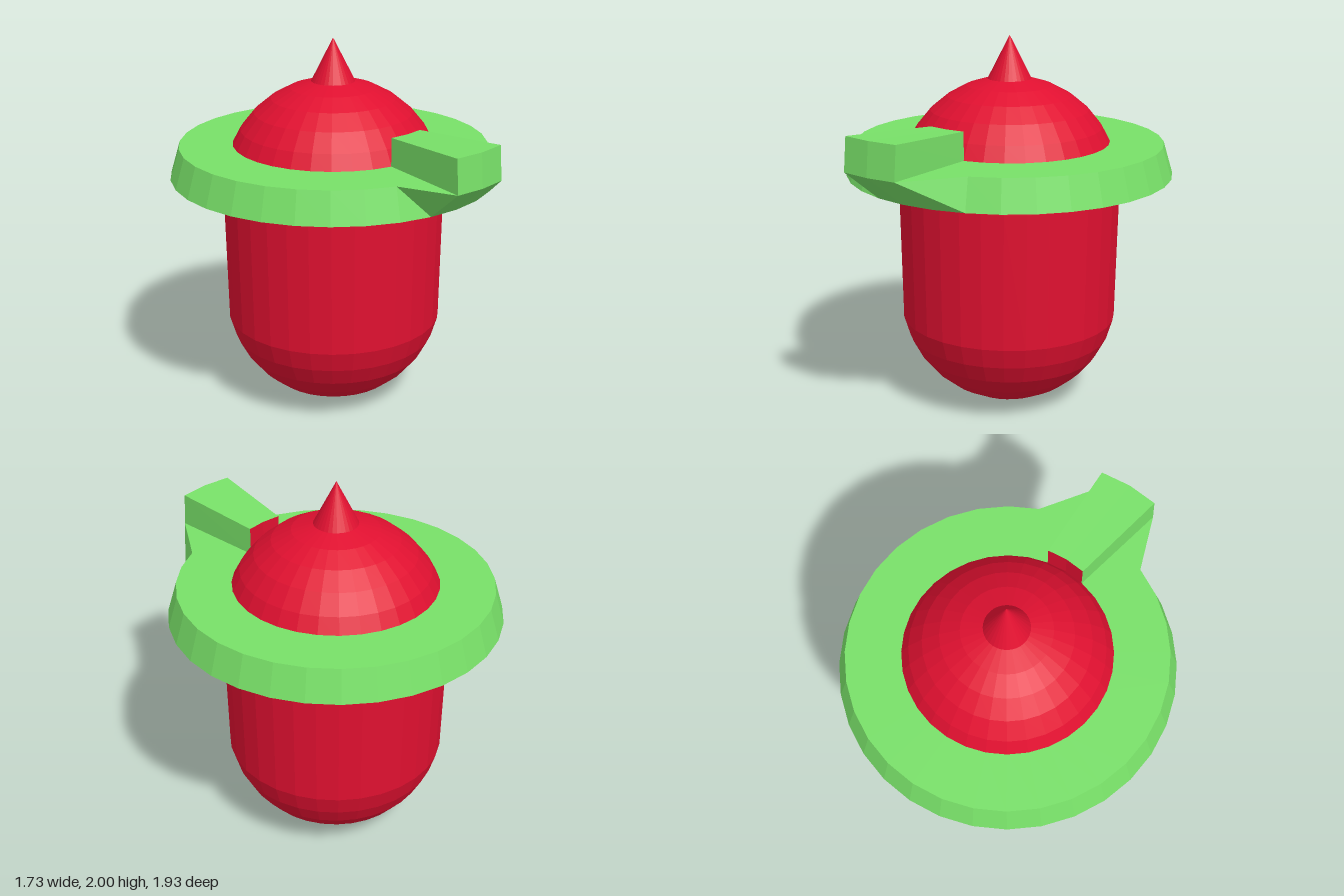
import * as THREE from 'three';

const SIDES = 32;
const STEP = (Math.PI * 2) / SIDES;
const AXIS_Z = -0.105;
const red = new THREE.MeshStandardMaterial({ color: 0xe01030, flatShading: true });
const green = new THREE.MeshStandardMaterial({ color: 0x78e068, flatShading: true });

function mesh(name, geometry, material) {
  const m = new THREE.Mesh(geometry, material);
  m.name = name;
  return m;
}

// Flat-faced surface from quads, corners counter-clockwise from outside
function quadSurface(quads) {
  const pos = quads.flatMap(([a, b, c, d]) => [a, b, d, b, c, d].flat());
  const g = new THREE.BufferGeometry();
  g.setAttribute('position', new THREE.Float32BufferAttribute(pos, 3));
  g.computeVertexNormals();
  return g;
}

export function createModel() {
  const group = new THREE.Group();

  // Capsule body: lower bowl, straight wall, upper dome
  const R = 0.59, profile = [];
  for (let i = 0; i <= 7; i++) {
    profile.push(new THREE.Vector2(R * Math.sin(i * STEP), R - R * Math.cos(i * STEP)));
  }
  for (let i = 8; i >= 0; i--) {
    profile.push(new THREE.Vector2(R * Math.sin(i * STEP), 1.195 + R * Math.cos(i * STEP)));
  }
  group.add(mesh('body', new THREE.LatheGeometry(profile, SIDES), red));

  // Pointed tip on the dome
  const tip = mesh('tip', new THREE.ConeGeometry(0.115, 0.226, SIDES, 1, true), red);
  tip.position.y = 1.887;
  group.add(tip);

  // Brim rings; three outer top corners are pulled forward for the spout
  const ring = (r, y, pull = 0) => (i) => {
    const k = (i + SIDES) % SIDES;
    return [r * Math.sin(k * STEP), y, r * Math.cos(k * STEP) + (k <= 2 ? pull : 0)];
  };
  const inner = ring(0.53, 1.445), outer = ring(0.815, 1.445, 0.25);
  const low = ring(0.865, 1.28), lowInner = ring(0.585, 1.28);
  const innerUp = ring(0.53, 1.592), outerUp = ring(0.81, 1.62, 0.24);

  const brim = [], underside = [], spout = [], spoutBack = [];
  for (let i = 0; i < SIDES; i++) {
    const j = i + 1;
    brim.push([low(i), low(j), outer(j), outer(i)]);
    underside.push([lowInner(i), lowInner(j), low(j), low(i)]);
    if (i < 2) {
      spout.push([outer(i), outer(j), outerUp(j), outerUp(i)]);
      spout.push([outerUp(i), outerUp(j), innerUp(j), innerUp(i)]);
      spoutBack.push([inner(j), inner(i), innerUp(i), innerUp(j)]);
    } else {
      brim.push([outer(i), outer(j), inner(j), inner(i)]);
    }
  }
  // Side walls of the spout
  spout.push([inner(0), outer(0), outerUp(0), innerUp(0)]);
  spout.push([outer(2), inner(2), innerUp(2), outerUp(2)]);

  group.add(
    mesh('brim', quadSurface(brim), green),
    mesh('brimUnderside', quadSurface(underside), red),
    mesh('spout', quadSurface(spout), green),
    mesh('spoutBack', quadSurface(spoutBack), red),
  );

  group.children.forEach((m) => { m.position.z = AXIS_Z; });
  return group;
}
